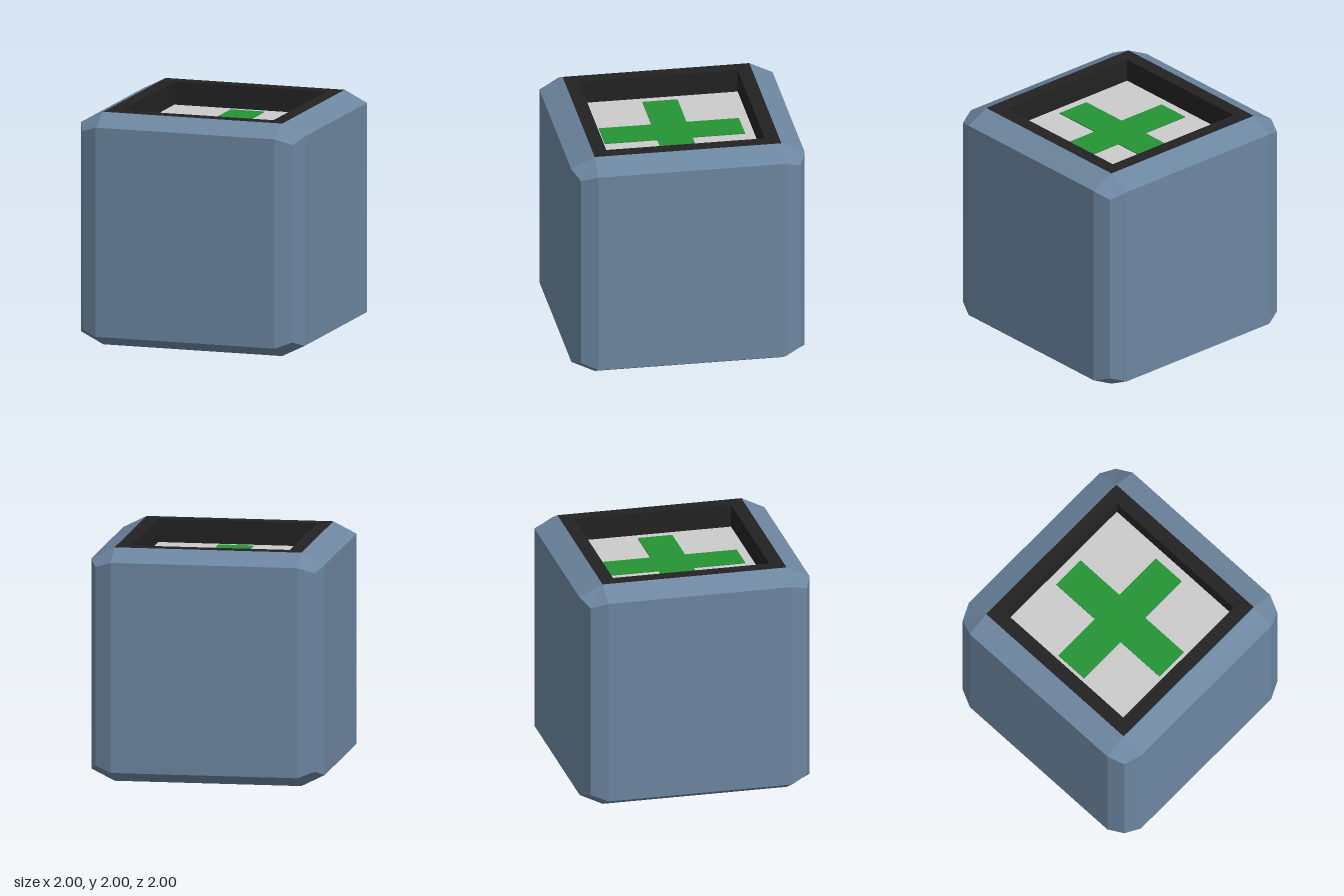
import * as THREE from 'three';

const mat = (name, color) => Object.assign(new THREE.MeshStandardMaterial({ color }), { name });

// Cube shell with two-step bevelled edges, open at the top for the recess
function shellGeometry() {
  const corner = [[1, 0.8, 0.1], [0.94, 0.94, 0.15], [0.8, 1, 0.1]]; // x, z, inset from top and bottom
  const rings = [[], [], [], []];
  for (let q = 0; q < 4; q++) {
    const turn = (x, z) => {
      for (let i = 0; i < q; i++) [x, z] = [-z, x];
      return [x, z];
    };
    for (const [px, pz, inset] of corner) {
      const [x, z] = turn(px, pz);
      const [cx, cz] = turn(0.8, 0.8);
      rings[0].push([cx, 0, cz]);
      rings[1].push([x, inset, z]);
      rings[2].push([x, 2 - inset, z]);
      rings[3].push([cx, 2, cz]);
    }
  }
  const pos = [];
  const same = (a, b) => a.every((v, i) => v === b[i]);
  const tri = (a, b, c) => {
    if (!same(a, b) && !same(b, c) && !same(a, c)) pos.push(...a, ...b, ...c);
  };
  for (let r = 0; r < 3; r++) {
    for (let i = 0; i < 12; i++) {
      const j = (i + 1) % 12;
      const [a, b, c, d] = [rings[r][i], rings[r][j], rings[r + 1][j], rings[r + 1][i]];
      tri(a, d, c);
      tri(a, c, b);
    }
  }
  // Underside
  const base = rings[0];
  tri(base[0], base[3], base[6]);
  tri(base[0], base[6], base[9]);
  const geo = new THREE.BufferGeometry();
  geo.setAttribute('position', new THREE.Float32BufferAttribute(pos, 3));
  geo.computeVertexNormals();
  return geo;
}

const square = (Type, h) => new Type([[-h, -h], [h, -h], [h, h], [-h, h]].map(p => new THREE.Vector2(...p)));

// Extrude a flat shape upwards from the ground plane
const slab = (shape, depth) =>
  new THREE.ExtrudeGeometry(shape, { depth, bevelEnabled: false }).rotateX(-Math.PI / 2);

export function createModel() {
  const group = new THREE.Group();
  const add = (name, geo, material, y = 0) => {
    const mesh = new THREE.Mesh(geo, material);
    mesh.name = name;
    mesh.position.y = y;
    group.add(mesh);
  };

  const blue = mat('slateBlue', 0x6d86a0);
  blue.flatShading = true;
  add('body', shellGeometry(), blue);

  // Dark rim around the recess
  const rim = square(THREE.Shape, 0.8);
  rim.holes.push(square(THREE.Path, 0.68));
  add('rim', slab(rim, 0.2), mat('black', 0x222222), 1.8);

  // Recessed panel
  add('panel', new THREE.BoxGeometry(1.36, 0.01, 1.36), mat('lightGrey', 0xcccccc), 1.795);

  // Cross on the panel
  const w = 0.15, l = 0.6;
  const cross = new THREE.Shape([
    [w, w], [w, l], [-w, l], [-w, w], [-l, w], [-l, -w],
    [-w, -w], [-w, -l], [w, -l], [w, -w], [l, -w], [l, w],
  ].map(p => new THREE.Vector2(...p)));
  add('cross', slab(cross, 0.008), mat('green', 0x249434), 1.8);

  return group;
}
